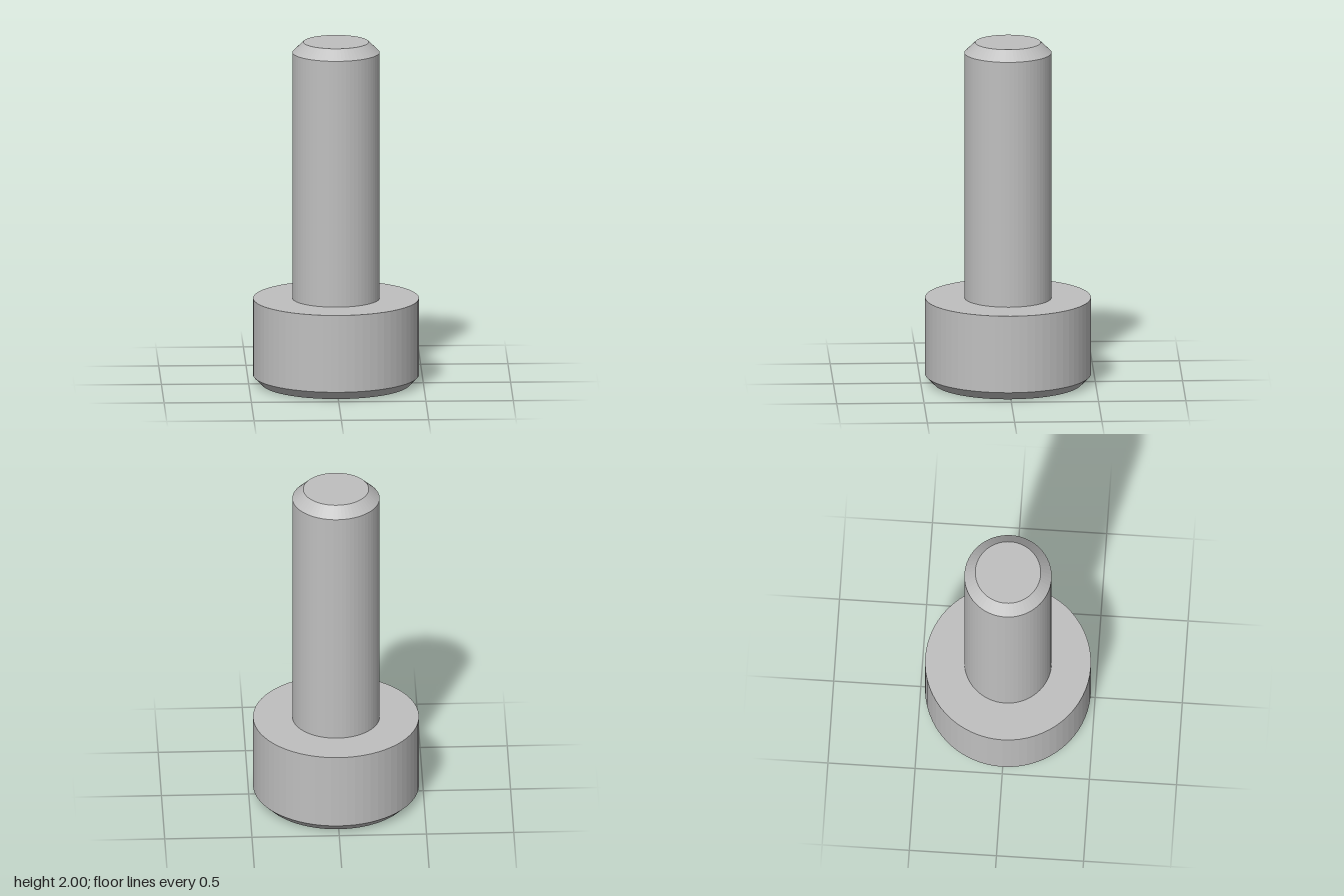
import * as THREE from 'three';

const SEGMENTS = 64;
const HEX_RADIUS = 0.1875 / Math.cos(Math.PI / 6);
const SOCKET_DEPTH = 0.25;

export function createModel() {
  const model = new THREE.Group();
  model.name = 'socketHeadScrew';

  const steel = new THREE.MeshStandardMaterial({ color: 0xbfbfbf });
  steel.name = 'steel grey';
  steel.flatShading = true;

  const add = (name, geometry, y = 0) => {
    const mesh = new THREE.Mesh(geometry, steel);
    mesh.name = name;
    mesh.position.y = y;
    model.add(mesh);
  };

  // Surface of revolution from [radius, height] pairs, bottom to top
  const turned = (profile) =>
    new THREE.LatheGeometry(profile.map(([r, y]) => new THREE.Vector2(r, y)), SEGMENTS);

  // Head: chamfered lower rim, straight side, flat shoulder up to the shank
  add('head', turned([[0.425, 0], [0.475, 0.05], [0.475, 0.5], [0.25, 0.5]]));

  // Shank with chamfered tip
  add('shank', turned([[0.25, 0.5], [0.25, 1.94], [0.1875, 2], [0, 2]]));

  // Underside of the head, pierced by the hexagon
  const corners = [];
  for (let i = 0; i < 6; i++) {
    const a = Math.PI / 2 + (i * Math.PI) / 3;
    corners.push(new THREE.Vector2(HEX_RADIUS * Math.cos(a), HEX_RADIUS * Math.sin(a)));
  }
  const face = new THREE.Shape();
  face.absarc(0, 0, 0.425, 0, Math.PI * 2, false);
  face.holes.push(new THREE.Path(corners));
  add('headFace', new THREE.ShapeGeometry(face, SEGMENTS).rotateX(Math.PI / 2));

  // Socket walls, mirrored so that they face inward
  const walls = new THREE.CylinderGeometry(HEX_RADIUS, HEX_RADIUS, SOCKET_DEPTH, 6, 1, true)
    .scale(1, 1, -1)
    .toNonIndexed();
  walls.computeVertexNormals();
  add('socketWalls', walls, SOCKET_DEPTH / 2);

  // Socket floor
  add('socketFloor', new THREE.CircleGeometry(HEX_RADIUS, 6, Math.PI / 2).rotateX(Math.PI / 2), SOCKET_DEPTH);

  return model;
}
